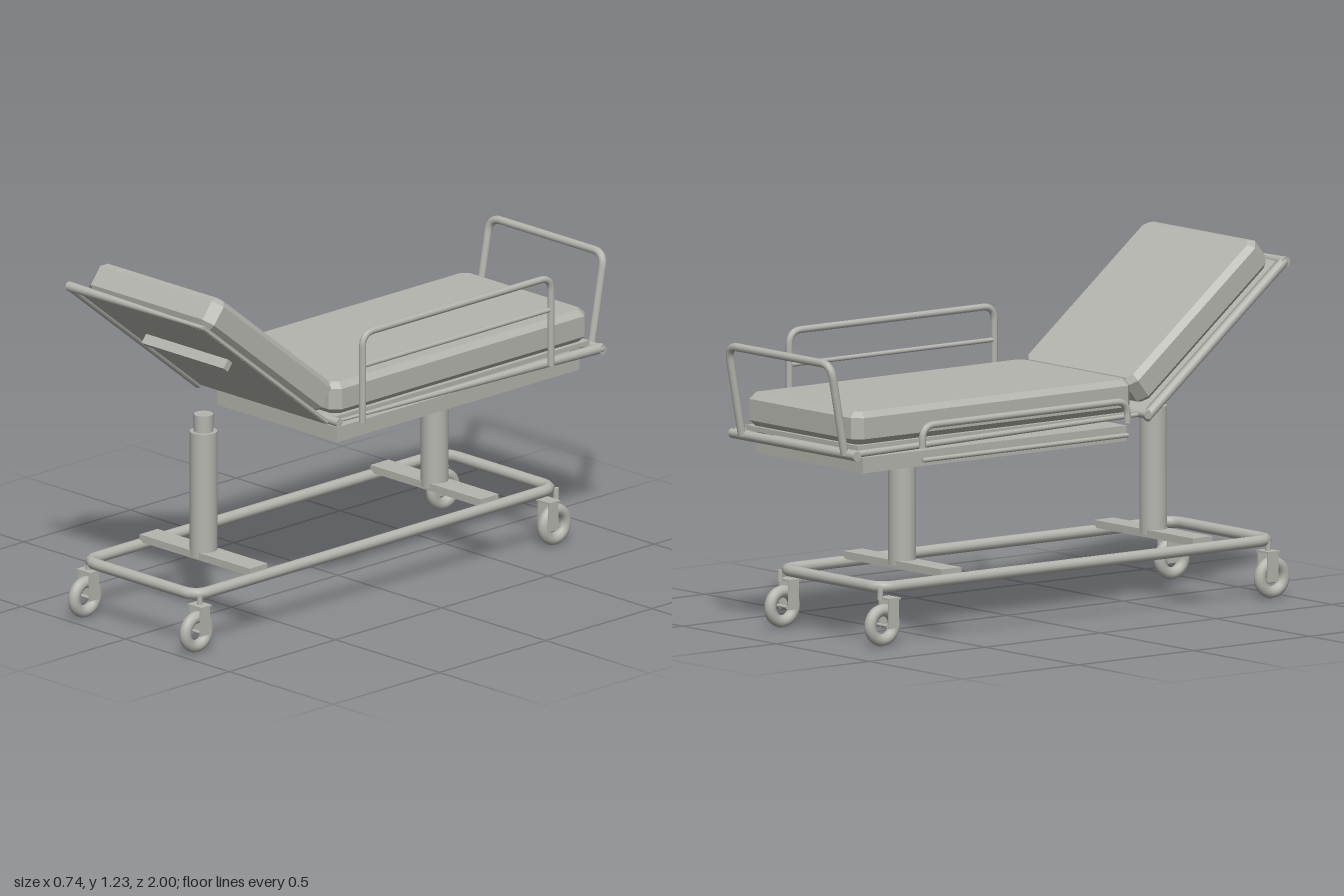
import * as THREE from 'three';

const V = (x, y, z) => new THREE.Vector3(x, y, z);

export function createModel() {
  const root = new THREE.Group();
  root.name = 'hospitalBed';
  const grey = new THREE.MeshStandardMaterial({ color: 0xb5b5af, side: THREE.DoubleSide });
  grey.name = 'paleGrey';

  const add = (parent, name, geometry, x = 0, y = 0, z = 0) => {
    const mesh = new THREE.Mesh(geometry, grey);
    mesh.name = name;
    mesh.position.set(x, y, z);
    parent.add(mesh);
    return mesh;
  };
  const box = (parent, name, w, h, d, x, y, z) => add(parent, name, new THREE.BoxGeometry(w, h, d), x, y, z);

  // Straight bar between two points, optionally tapering
  const bar = (parent, name, a, b, r0, r1 = r0) => {
    const dir = b.clone().sub(a);
    const mesh = add(parent, name, new THREE.CylinderGeometry(r1, r0, dir.length(), 14));
    mesh.position.copy(a).add(b).multiplyScalar(0.5);
    mesh.quaternion.setFromUnitVectors(V(0, 1, 0), dir.normalize());
    return mesh;
  };

  // Bent tube through points with rounded corners
  const tube = (parent, name, pts, r, bend, closed = false) => {
    const path = new THREE.CurvePath();
    const n = pts.length;
    const toward = (a, b) => a.clone().add(b.clone().sub(a).setLength(bend));
    let from = closed ? toward(pts[0], pts[1]) : pts[0];
    for (let i = 1; i < (closed ? n + 1 : n - 1); i++) {
      const p = pts[i % n], next = pts[(i + 1) % n];
      const enter = toward(p, pts[i - 1]), leave = toward(p, next);
      path.add(new THREE.LineCurve3(from, enter));
      path.add(new THREE.QuadraticBezierCurve3(enter, p, leave));
      from = leave;
    }
    if (!closed) path.add(new THREE.LineCurve3(from, pts[n - 1]));
    return add(parent, name, new THREE.TubeGeometry(path, 160, r, 12, closed));
  };

  // Mattress pad with chamfered edges, lying flat with its underside at y = 0
  const pad = (w, h, d, c) => {
    const X = w / 2 - c, Z = d / 2 - c;
    const shape = new THREE.Shape([
      [X - c, -Z], [X, c - Z], [X, Z - c], [X - c, Z],
      [c - X, Z], [-X, Z - c], [-X, c - Z], [c - X, -Z],
    ].map(([x, y]) => new THREE.Vector2(x, y)));
    const g = new THREE.ExtrudeGeometry(shape, {
      depth: h - 2 * c, bevelThickness: c, bevelSize: c, bevelSegments: 1,
    });
    return g.rotateX(-Math.PI / 2).translate(0, c, 0);
  };

  // Wheeled base
  const base = new THREE.Group();
  base.name = 'base';
  root.add(base);
  tube(base, 'baseFrame', [
    V(-0.267, 0.2, -0.762), V(0.267, 0.2, -0.762), V(0.267, 0.2, 0.93), V(-0.267, 0.2, 0.93),
  ], 0.02, 0.06, true);

  // Lifting columns, each on a cross plate
  for (const [z, top] of [[0.632, 0.715], [-0.455, 0.675]]) {
    box(base, 'crossPlate', 0.53, 0.026, 0.085, 0, 0.224, z);
    add(base, 'column', new THREE.CylinderGeometry(0.047, 0.047, 0.435, 24), 0, 0.4375, z);
    add(base, 'columnPiston', new THREE.CylinderGeometry(0.033, 0.033, top - 0.6, 24), 0, (top + 0.6) / 2, z);
  }

  // Casters
  for (const [zWheel, zFork, zStem] of [[0.928, 0.912, 0.912], [-0.757, -0.728, -0.765]]) {
    for (const x of [-0.268, 0.268]) {
      const caster = new THREE.Group();
      caster.name = 'caster';
      base.add(caster);
      const tyre = add(caster, 'wheel', new THREE.TorusGeometry(0.051, 0.021, 12, 28), x, 0.073, zWheel);
      tyre.rotation.y = Math.PI / 2;
      for (const s of [-1, 1]) box(caster, 'forkPlate', 0.005, 0.1, 0.045, x + s * 0.025, 0.112, zFork);
      box(caster, 'forkTop', 0.066, 0.006, 0.05, x, 0.163, zFork);
      bar(caster, 'axle', V(x - 0.026, 0.073, zWheel), V(x + 0.026, 0.073, zWheel), 0.006);
      bar(caster, 'stem', V(x, 0.16, zStem), V(x, 0.2, zStem), 0.01);
    }
  }

  // Fixed bed section
  const bed = new THREE.Group();
  bed.name = 'bed';
  root.add(bed);
  box(bed, 'supportBoard', 0.575, 0.053, 1.14, 0, 0.628, -0.285);
  box(bed, 'bedPanel', 0.6, 0.016, 1.22, 0, 0.692, -0.28);
  add(bed, 'mattress', pad(0.606, 0.112, 1.205, 0.02), 0, 0.7, -0.293);
  bar(bed, 'frameFootBar', V(-0.33, 0.67, -0.915), V(0.34, 0.67, -0.915), 0.017);
  bar(bed, 'frameHingeBar', V(-0.345, 0.694, 0.33), V(0.345, 0.694, 0.33), 0.015);
  bar(bed, 'frameSideBar', V(0.325, 0.672, -0.92), V(0.318, 0.69, 0.33), 0.018, 0.005);
  bar(bed, 'frameSideBar', V(-0.303, 0.672, -0.92), V(-0.303, 0.69, 0.33), 0.012, 0.008);

  // Foot rail leaning outward
  tube(bed, 'footRail', [
    V(-0.275, 0.67, -0.925), V(-0.275, 0.982, -0.985), V(0.275, 0.982, -0.985), V(0.275, 0.67, -0.925),
  ], 0.014, 0.05);

  // Side rails: one raised, one lowered
  for (const [x, top, mid] of [[0.355, 0.99, 0.875], [-0.358, 0.752, 0.635]]) {
    tube(bed, 'sideRail', [
      V(x, 0.677, 0.231), V(x, top, 0.231), V(x, top, -0.656), V(x, 0.677, -0.656),
    ], 0.012, 0.05);
    bar(bed, 'sideRailMiddleBar', V(x, mid, 0.231), V(x, mid, -0.656), 0.008);
  }

  // Tilted backrest, built flat from its hinge along +z
  const backrest = new THREE.Group();
  backrest.name = 'backrest';
  backrest.position.set(0, 0.69, 0.345);
  backrest.rotation.x = -THREE.MathUtils.degToRad(38.5);
  root.add(backrest);
  add(backrest, 'backMattress', pad(0.6, 0.112, 0.71, 0.02), 0, 0.01, 0.378);
  box(backrest, 'backPanel', 0.606, 0.016, 0.745, 0, 0, 0.372);
  box(backrest, 'panelHandle', 0.394, 0.036, 0.026, 0, -0.025, 0.446);
  bar(backrest, 'backFrameLeftBar', V(-0.327, -0.002, -0.015), V(-0.327, -0.002, 0.752), 0.017);
  bar(backrest, 'backFrameTopBar', V(-0.34, -0.002, 0.75), V(0.305, -0.002, 0.75), 0.017, 0.006);
  bar(backrest, 'backFrameRightBar', V(0.302, -0.002, 0), V(0.302, -0.002, 0.75), 0.005, 0.006);

  return root;
}
